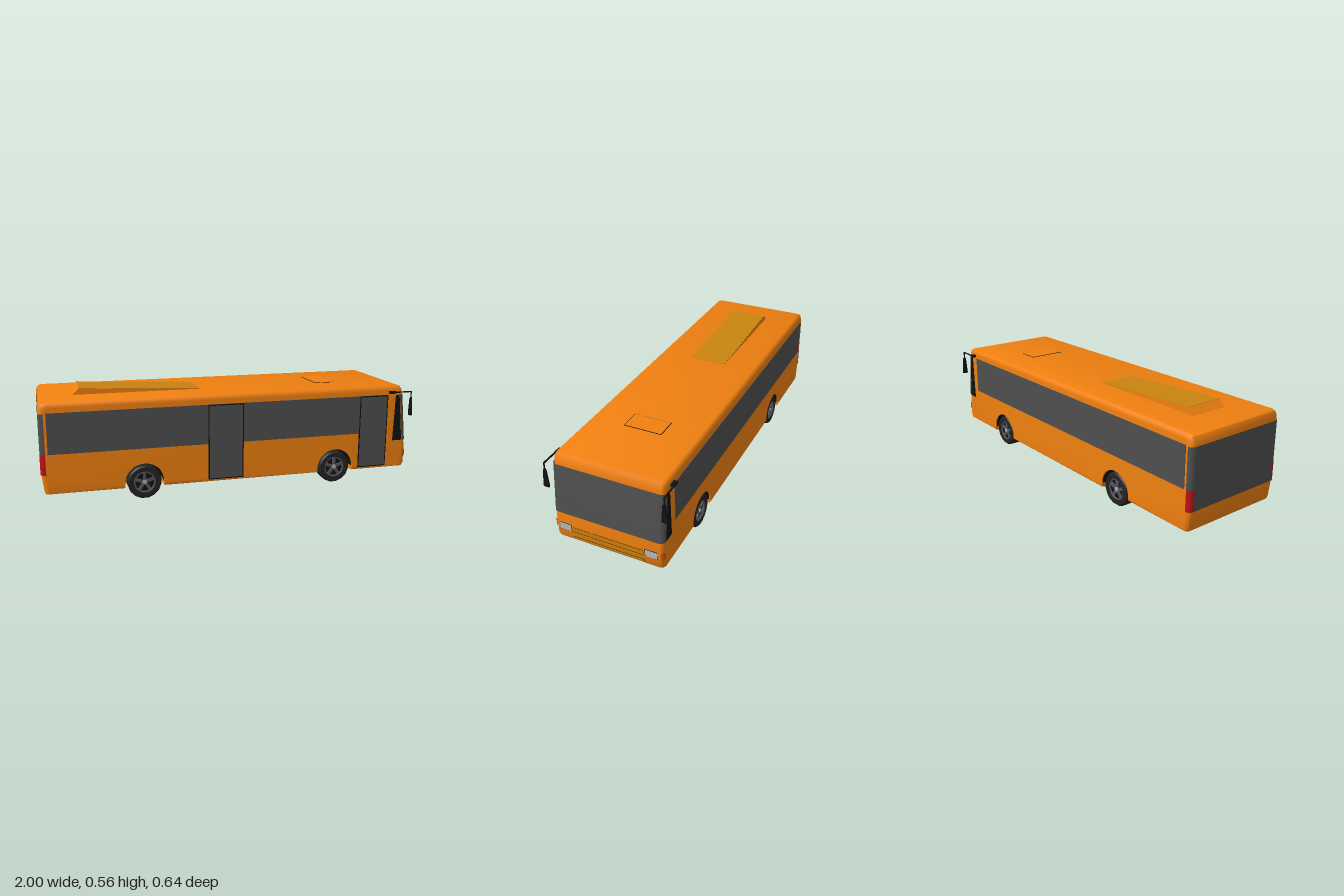
import * as THREE from 'three';
import { toCreasedNormals } from 'three/addons/utils/BufferGeometryUtils.js';

const HALF = 0.288, R = 0.026, BOTTOM = 0.063;
const AXLES = [-0.485, 0.565], WHEEL_R = 0.088, ARCH_R = 0.102;
// nose and tail outlines as [x, y], from the sill up to the roof
const NOSE = [[0.978, BOTTOM], [0.989, 0.08], [0.991, 0.16], [0.985, 0.22], [0.958, 0.48], [0.954, 0.505], [0.945, 0.521], [0.925, 0.528]];
const TAIL = [[-0.98, BOTTOM], [-0.986, 0.08], [-0.997, 0.17], [-0.997, 0.48], [-0.995, 0.505], [-0.987, 0.521], [-0.97, 0.528]];

const mat = (color) => new THREE.MeshStandardMaterial({ color, side: THREE.DoubleSide });
const PAINT = mat(0xf08010), GLASS = mat(0x4f4f4f), BLACK = mat(0x111111), RUBBER = mat(0x222222),
  GOLD = mat(0xc8830f), LAMP = mat(0xbbbbbb), AMBER = mat(0xd85a08), RED = mat(0xc01010),
  RIM = mat(0x55555c), HUB = mat(0xaaaaaa);

function add(parent, name, geometry, material, x = 0, y = 0, z = 0) {
  const m = new THREE.Mesh(geometry, material);
  m.name = name;
  m.position.set(x, y, z);
  parent.add(m);
  return m;
}
const box = (w, h, d) => new THREE.BoxGeometry(w, h, d);

// x of an outline at height y
function outlineX(line, y) {
  for (let i = 1; i < line.length; i++) {
    const [x0, y0] = line[i - 1], [x1, y1] = line[i];
    if (y <= y1) return x0 + (x1 - x0) * (y - y0) / (y1 - y0);
  }
  return line[line.length - 1][0];
}
// how far the rounded corner has pulled back at width z
function cornerInset(z) {
  const d = Math.min(R, Math.max(0, Math.abs(z) - HALF + R));
  return R - Math.sqrt(R * R - d * d);
}

// shell: side outline with wheel arches, extruded across and rounded by rule
function bodyGeometry() {
  const s = new THREE.Shape();
  s.moveTo(...TAIL[0]);
  for (const x of AXLES) {
    s.lineTo(x - ARCH_R, BOTTOM);
    s.absarc(x, WHEEL_R, ARCH_R, Math.PI, 0, true);
    s.lineTo(x + ARCH_R, BOTTOM);
  }
  NOSE.forEach((p) => s.lineTo(...p));
  [...TAIL].reverse().slice(0, -1).forEach((p) => s.lineTo(...p));
  s.closePath();
  const g = new THREE.ExtrudeGeometry(s, { depth: 13, steps: 13, bevelEnabled: false, curveSegments: 16 });
  const p = g.attributes.position;
  for (let i = 0; i < p.count; i++) {
    const k = Math.round(p.getZ(i)), side = k < 7 ? -1 : 1;
    const a = (k < 7 ? 6 - k : k - 7) * Math.PI / 12;
    const inset = R * (1 - Math.cos(a));
    const x = p.getX(i), y = p.getY(i);
    p.setZ(i, side * (HALF - R + R * Math.sin(a)));
    if (Math.abs(x) > 0.9) p.setX(i, x - Math.sign(x) * inset);
    if (y > 0.4) p.setY(i, y - inset);
    else if (y < 0.07) p.setY(i, y + inset * 0.3);
  }
  return toCreasedNormals(g, 0.6);
}

// skin panel lying on the nose or tail, wrapping round the corners
function endPanel(line, y0, y1, z0, z1, lift = 0.003) {
  const g = new THREE.PlaneGeometry(2, 1, 36, 6), p = g.attributes.position;
  const dir = line === NOSE ? 1 : -1;
  const a0 = Math.asin(z0 / HALF), a1 = Math.asin(z1 / HALF);
  for (let i = 0; i < p.count; i++) {
    const z = HALF * Math.sin(a0 + (a1 - a0) * (p.getX(i) + 1) / 2);
    const y = y0 + (y1 - y0) * (p.getY(i) + 0.5);
    p.setXYZ(i, outlineX(line, y) + dir * (lift - cornerInset(z)), y, z * (1 + lift / HALF));
  }
  g.computeVertexNormals();
  return g;
}

// thin plate from side-view points, centred on its own plane
function plate(points, depth) {
  const s = new THREE.Shape(points.map((p) => new THREE.Vector2(...p)));
  return new THREE.ExtrudeGeometry(s, { depth, bevelEnabled: false }).translate(0, 0, -depth / 2);
}

function wheel(side) {
  const g = new THREE.Group();
  g.name = 'wheel';
  const profile = [[0.05, -0.036], [0.08, -0.036], [WHEEL_R, -0.026], [WHEEL_R, 0.026], [0.08, 0.036], [0.058, 0.036], [0.054, 0.022]];
  const tyre = new THREE.LatheGeometry(profile.map((p) => new THREE.Vector2(...p)), 16);
  add(g, 'tyre', toCreasedNormals(tyre.rotateX(Math.PI / 2).rotateZ(Math.PI / 16), 0.5), RUBBER);
  add(g, 'rimBack', new THREE.CylinderGeometry(0.056, 0.056, 0.04, 20).rotateX(Math.PI / 2), BLACK);
  add(g, 'rimRing', new THREE.TorusGeometry(0.053, 0.005, 6, 24), RIM, 0, 0, 0.028);
  for (let i = 0; i < 5; i++) {
    const spoke = box(0.016, 0.05, 0.008).translate(0, 0.029, 0.025).rotateZ(i * Math.PI * 0.4);
    add(g, 'spoke', spoke, RIM);
  }
  add(g, 'hub', new THREE.CylinderGeometry(0.011, 0.014, 0.014, 10).rotateX(Math.PI / 2), HUB, 0, 0, 0.026);
  if (side < 0) g.rotation.y = Math.PI;
  return g;
}

function mirror(side) {
  const g = new THREE.Group();
  g.name = 'wingMirror';
  const z = side * 0.304;
  add(g, 'mirrorMount', box(0.035, 0.012, 0.02), BLACK, 0.887, 0.492, side * 0.297);
  add(g, 'mirrorArm', box(0.128, 0.006, 0.006), BLACK, 0.934, 0.493, z);
  add(g, 'mirrorRod', box(0.005, 0.04, 0.005), BLACK, 0.996, 0.474, z);
  const head = plate([[-0.014, 0.36], [0.014, 0.36], [0.015, 0.368], [0.008, 0.452], [0.004, 0.461], [-0.004, 0.461], [-0.008, 0.452], [-0.015, 0.368]], 0.008);
  add(g, 'mirrorHead', head.rotateY(Math.PI / 2), BLACK, 0.996, 0, z);
  return g;
}

export function createModel() {
  const bus = new THREE.Group();
  bus.name = 'bus';
  add(bus, 'body', bodyGeometry(), PAINT);

  for (const x of AXLES) {
    // floor between the two wheel wells
    add(bus, 'axleFloor', box(0.23, 0.16, 0.38), PAINT, x, BOTTOM + 0.08, 0);
    for (const side of [1, -1]) {
      const liner = new THREE.CylinderGeometry(ARCH_R - 0.002, ARCH_R - 0.002, 0.09, 24, 1, true, -Math.PI / 2, Math.PI);
      add(bus, 'archLiner', liner.rotateX(-Math.PI / 2), BLACK, x, WHEEL_R, side * 0.238);
      add(bus, 'archBack', new THREE.CircleGeometry(ARCH_R, 24, 0, Math.PI), BLACK, x, WHEEL_R, side * 0.192);
      const w = wheel(side);
      w.position.set(x, WHEEL_R, side * 0.246);
      bus.add(w);
    }
  }

  // side glazing and mirrors
  for (const side of [1, -1]) {
    add(bus, 'sideWindows', box(1.825, 0.208, 0.004), GLASS, -0.0475, 0.374, side * HALF);
    const quarter = plate([[0.905, 0.218], [0.96, 0.218], [0.934, 0.475], [0.913, 0.475]], 0.005);
    add(bus, 'quarterWindow', quarter, BLACK, 0, 0, side * HALF);
    bus.add(mirror(side));
  }

  // passenger doors on one side only
  for (const [x0, x1] of [[-0.15, 0.04], [0.7, 0.866]]) {
    const w = x1 - x0, x = (x0 + x1) / 2;
    add(bus, 'doorFrame', box(w, 0.4, 0.006), BLACK, x, 0.277, HALF);
    add(bus, 'door', box(w - 0.012, 0.388, 0.009), GLASS, x, 0.277, HALF);
  }

  // nose
  add(bus, 'windscreen', endPanel(NOSE, 0.217, 0.475, -HALF, HALF), GLASS);
  for (const [y0, y1] of [[0.132, 0.15], [0.108, 0.123], [0.078, 0.094]]) {
    add(bus, 'grilleEdge', endPanel(NOSE, y0 - 0.001, y1 + 0.001, -0.188, 0.188, 0.002), BLACK);
    add(bus, 'grilleBar', endPanel(NOSE, y0, y1, -0.187, 0.187, 0.003), GOLD);
  }
  for (const s of [1, -1]) {
    add(bus, 'headlightEdge', endPanel(NOSE, 0.12, 0.163, s * 0.193, s * 0.259, 0.002), BLACK);
    add(bus, 'headlight', endPanel(NOSE, 0.122, 0.161, s * 0.195, s * 0.257, 0.003), LAMP);
    add(bus, 'indicator', endPanel(NOSE, 0.122, 0.161, s * 0.274, s * 0.2878), AMBER);
  }

  // tail
  add(bus, 'rearWindow', endPanel(TAIL, 0.166, 0.475, -HALF, HALF, 0.002), GLASS);
  for (const s of [1, -1])
    add(bus, 'tailLight', endPanel(TAIL, 0.166, 0.27, s * 0.262, s * HALF, 0.003), RED);

  // roof unit and hatch
  add(bus, 'roofUnit', plate([[-0.82, 0.526], [-0.15, 0.526], [-0.15, 0.529], [-0.785, 0.561]], 0.205), PAINT);
  add(bus, 'roofUnitCover', plate([[-0.785, 0.561], [-0.15, 0.529], [-0.15, 0.5305], [-0.785, 0.5625]], 0.203), GOLD);
  add(bus, 'hatchSeal', box(0.112, 0.003, 0.202), BLACK, 0.565, 0.528, 0);
  add(bus, 'roofHatch', box(0.106, 0.005, 0.196), PAINT, 0.565, 0.5285, 0);
  return bus;
}
